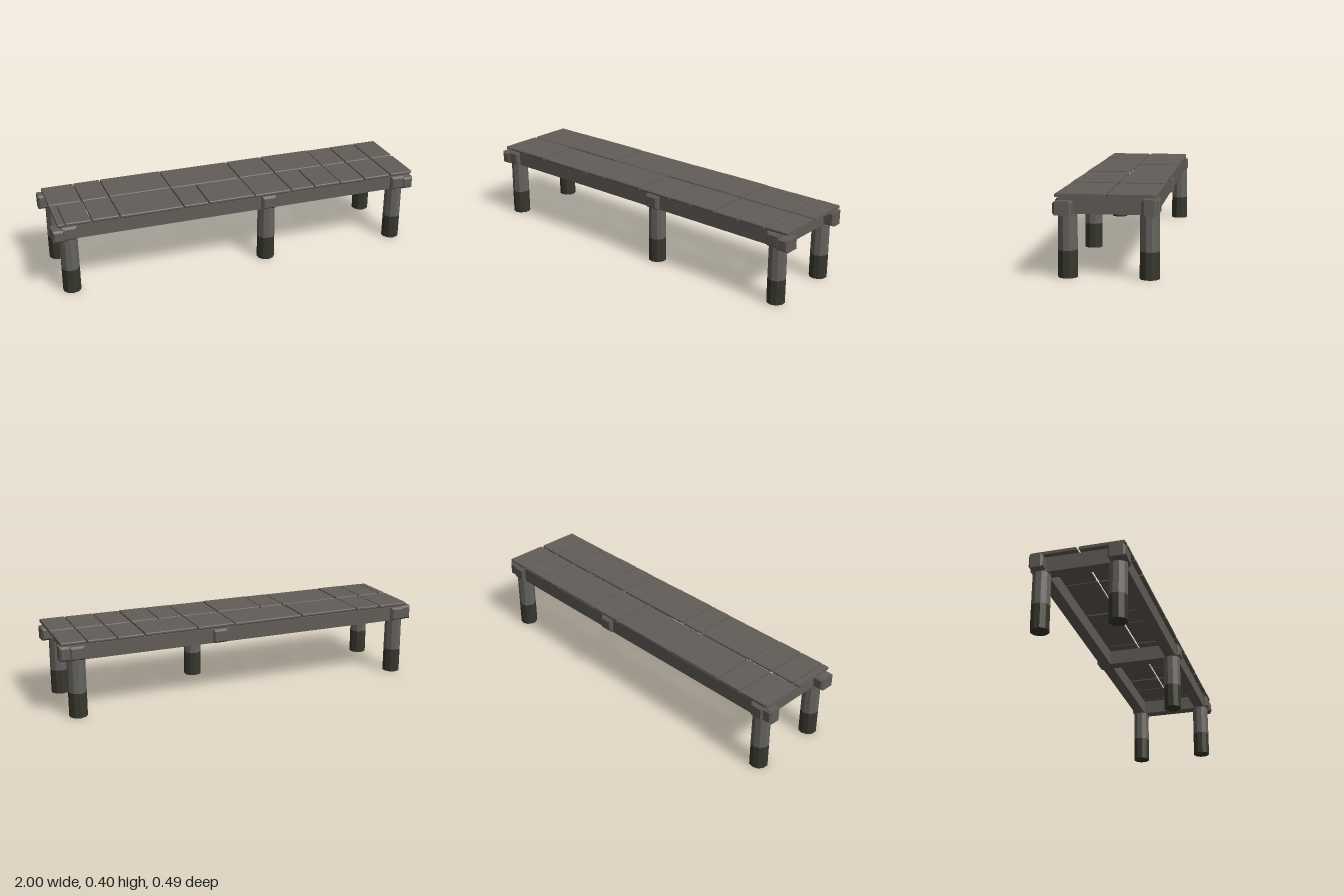
import * as THREE from 'three';

export function createModel() {
  const pier = new THREE.Group();
  pier.name = 'pier';

  const makeMaterial = (name, color, flatShading = false) => {
    const m = new THREE.MeshStandardMaterial({ color, flatShading });
    m.name = name;
    return m;
  };
  const wood = makeMaterial('weatheredWood', 0x625d58);
  const postWood = makeMaterial('postWood', 0x66635e, true);
  const wetWood = makeMaterial('wetWood', 0x38372d, true);

  const add = (name, geometry, material, x, y, z) => {
    const mesh = new THREE.Mesh(geometry, material);
    mesh.name = name;
    mesh.position.set(x, y, z);
    pier.add(mesh);
    return mesh;
  };

  // Centred box with chamfered edges
  const block = (w, h, d, b) => {
    const x = w / 2 - b, y = h / 2 - b;
    const shape = new THREE.Shape();
    shape.moveTo(-x, -y).lineTo(x, -y).lineTo(x, y).lineTo(-x, y).closePath();
    const g = new THREE.ExtrudeGeometry(shape, {
      depth: d - 2 * b, bevelEnabled: true, bevelSize: b, bevelThickness: b, bevelSegments: 1,
    });
    return g.translate(0, 0, b - d / 2);
  };

  // Deck: two rows of boards split by narrow seams
  const rows = [
    { name: 'backBoard', z: -0.1175, d: 0.227,
      seams: [-0.975, -0.8, -0.655, -0.32, 0.07, 0.275, 0.56, 0.705, 0.86, 0.996] },
    { name: 'frontBoard', z: 0.12, d: 0.23,
      seams: [-0.975, -0.935, -0.8, -0.655, -0.32, -0.185, 0.07, 0.275, 0.41, 0.56, 0.705, 0.86, 0.996] },
  ];
  for (const { name, z, d, seams } of rows) {
    for (let i = 0; i + 1 < seams.length; i++) {
      const a = seams[i], b = seams[i + 1];
      const lift = (i % 3) * 0.001;
      add(name, block(b - a - 0.007, 0.015, d, 0.004), wood, (a + b) / 2, 0.3895 + lift, z);
    }
  }

  // Long side beams, with chunky cut ends
  const beamY = 0.34, frontZ = 0.187, backZ = -0.195;
  for (const [side, z] of [['front', frontZ], ['back', backZ]]) {
    add(side + 'Beam', new THREE.BoxGeometry(1.9, 0.078, 0.06), wood, 0, beamY, z);
    for (const s of [-1, 1]) {
      const front = z > 0;
      add(side + 'BeamEnd', block(0.06, front ? 0.065 : 0.075, front ? 0.088 : 0.07, 0.01),
        wood, s * 0.97, front ? 0.332 : 0.34, front ? 0.199 : -0.2);
    }
  }

  // Cross beams, with chunky cut ends
  const postX = [-0.915, 0.152, 0.912];
  for (const x of postX) {
    add('crossBeam', new THREE.BoxGeometry(0.06, 0.08, 0.38), wood, x, beamY, -0.004);
    for (const z of [0.207, -0.212]) {
      add('crossBeamEnd', block(0.078, 0.072, 0.064, 0.01), wood, x, 0.339, z);
    }
  }

  // Posts with a dark wet foot; the back middle one is missing
  const waterline = 0.13, postTop = 0.315;
  const posts = postX.flatMap((x) => [[x, frontZ], [x, backZ]]).filter(([x, z]) => !(x === postX[1] && z < 0));
  for (const [x, z] of posts) {
    const upper = postTop - waterline;
    add('post', new THREE.CylinderGeometry(0.046, 0.047, upper, 10), postWood, x, waterline + upper / 2, z);
    add('wetFoot', new THREE.CylinderGeometry(0.047, 0.047, waterline, 10), wetWood, x, waterline / 2, z);
  }

  return pier;
}
